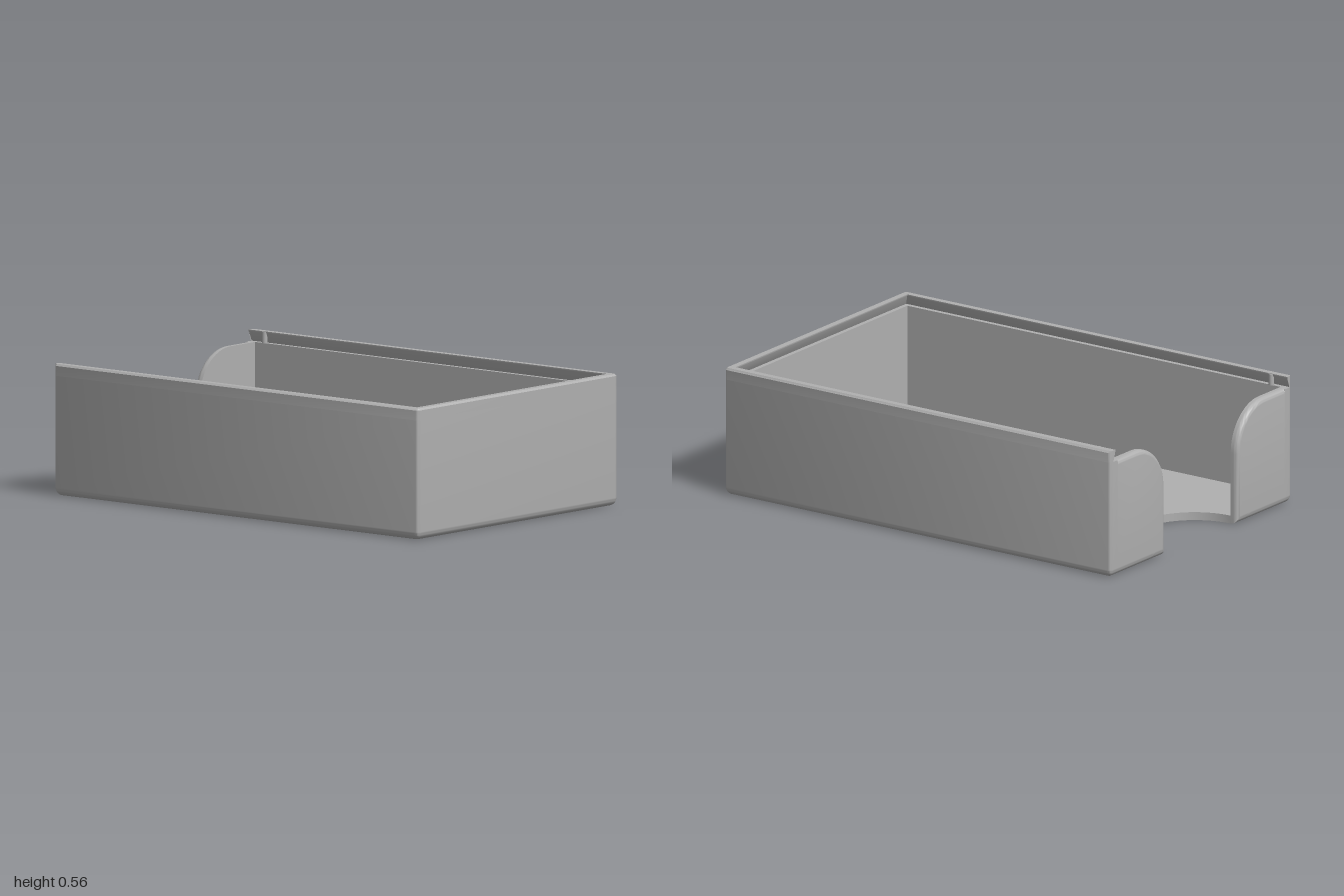
import * as THREE from 'three';
import { toCreasedNormals } from 'three/addons/utils/BufferGeometryUtils.js';

const W = 0.655, D = 1, H = 0.56;       // half width, half depth, height
const T = 0.035;                        // wall and floor thickness
const LEDGE = 0.51;                     // height of the lid slot floor
const R = 0.02;                         // vertical corner radius
const CUT = 0.26, ARCH = 0.2;           // thumb cutout half width, arch radius

// How far a rounded edge of radius r is set back at depth d
const setback = (r, d) => (d >= r ? 0 : r - Math.sqrt(r * r - (r - d) ** 2));
const steps = (n, fn) => Array.from({ length: n + 1 }, (_, k) => fn(k / n));

// A station maps inward depth d to a position on the plan (and a wall top)
const corner = (sz, a) => (d) => ({
  x: W - Math.max(R, d) + Math.cos(a) * Math.max(R - d, 0),
  z: sz * (D - Math.max(R, d)) + Math.sin(a) * Math.max(R - d, 0),
  top: LEDGE,
});
const mirrored = (half) => [
  ...half,
  ...half.slice().reverse().map((s) => (d) => { const p = s(d); return { ...p, x: -p.x }; }),
];

// Joins rings (one per station, even point count) into a closed solid
function loft(rings) {
  const n = rings[0].length, pos = [], index = [];
  rings.forEach((ring) => ring.forEach((p) => pos.push(...p)));
  const quad = (a, b, c, d) => index.push(a, b, c, a, c, d);
  for (let s = 0; s < rings.length - 1; s++) {
    for (let j = 0; j < n; j++) {
      const k = (j + 1) % n, a = s * n, b = a + n;
      quad(a + j, b + j, b + k, a + k);
    }
  }
  const last = (rings.length - 1) * n;
  for (let k = 0; k < n / 2 - 1; k++) {
    quad(k, k + 1, n - 2 - k, n - 1 - k);
    quad(last + n - 1 - k, last + n - 2 - k, last + k + 1, last + k);
  }
  const geo = new THREE.BufferGeometry();
  geo.setAttribute('position', new THREE.Float32BufferAttribute(pos, 3));
  geo.setIndex(index);
  return toCreasedNormals(geo, 0.6);
}

// Walls: one run from the cutout, round the box, back to the cutout
function wallGeometry() {
  const cx = CUT + ARCH, cy = LEDGE - ARCH;
  const arch = steps(16, (t) => (d) => {
    const a = t * Math.PI / 2, r = ARCH - setback(R, d);
    return { x: cx - r * Math.cos(a), z: -D + d, top: cy + r * Math.sin(a) };
  });
  const half = [
    ...arch,
    (d) => ({ x: 0.6, z: -D + d, top: LEDGE - setback(R, d) }),
    (d) => ({ x: 0.605, z: -D + d, top: LEDGE }),
    ...steps(6, (t) => corner(-1, (t - 1) * Math.PI / 2)),
    ...steps(6, (t) => corner(1, t * Math.PI / 2)),
  ];
  const depths = steps(8, (t) => T * (1 - Math.cos(t * Math.PI / 2)));
  return loft(mirrored(half).map((station) => {
    const low = depths.map((d) => { const p = station(d); return [p.x, setback(T, d), p.z]; });
    const high = depths.map((d) => { const p = station(d); return [p.x, p.top, p.z]; });
    return [...low, ...high.reverse()];
  }));
}

// Rim: undercut lip on the sides and front that holds a sliding lid
function rimGeometry() {
  const profile = [[0, LEDGE], [0.015, LEDGE], [T, H - 0.006], [T, H], [0.008, H], [0, H - 0.008]];
  const half = [
    ...steps(6, (t) => (d) => {
      const s = R * (1 - Math.cos(t * Math.PI / 2));
      return { x: W - Math.max(d, setback(R, s)), z: -D + s };
    }),
    ...steps(6, (t) => corner(1, t * Math.PI / 2)),
  ];
  return loft(mirrored(half).map((station) => profile.map(([d, y]) => {
    const p = station(d);
    return [p.x, y, p.z];
  })));
}

// Floor with a half-round thumb cutout at the back
function floorGeometry() {
  const x = W - T, z = D - T;
  const shape = new THREE.Shape();
  shape.moveTo(-x, -z);
  shape.lineTo(x, -z);
  shape.lineTo(x, z);
  shape.lineTo(CUT, z);
  shape.absarc(0, z, CUT, 0, -Math.PI, true);
  shape.lineTo(-x, z);
  shape.closePath();
  const geo = new THREE.ExtrudeGeometry(shape, { depth: T, bevelEnabled: false, curveSegments: 40 });
  geo.rotateX(-Math.PI / 2);
  return toCreasedNormals(geo, 0.6);
}

export function createModel() {
  const group = new THREE.Group();
  group.name = 'slidingLidBox';
  const grey = new THREE.MeshStandardMaterial({ color: 0xb0b0b0 });
  grey.name = 'grey';
  const add = (name, geo) => {
    const mesh = new THREE.Mesh(geo, grey);
    mesh.name = name;
    group.add(mesh);
    return mesh;
  };

  add('walls', wallGeometry());
  add('rim', rimGeometry());
  add('floor', floorGeometry());

  // Small bumps that click the lid shut
  for (const side of [1, -1]) {
    const h = H - LEDGE - 0.002;
    add(side > 0 ? 'leftLidCatch' : 'rightLidCatch', new THREE.CylinderGeometry(0.012, 0.012, h, 16))
      .position.set(side * 0.624, LEDGE + h / 2, -0.915);
  }
  return group;
}
